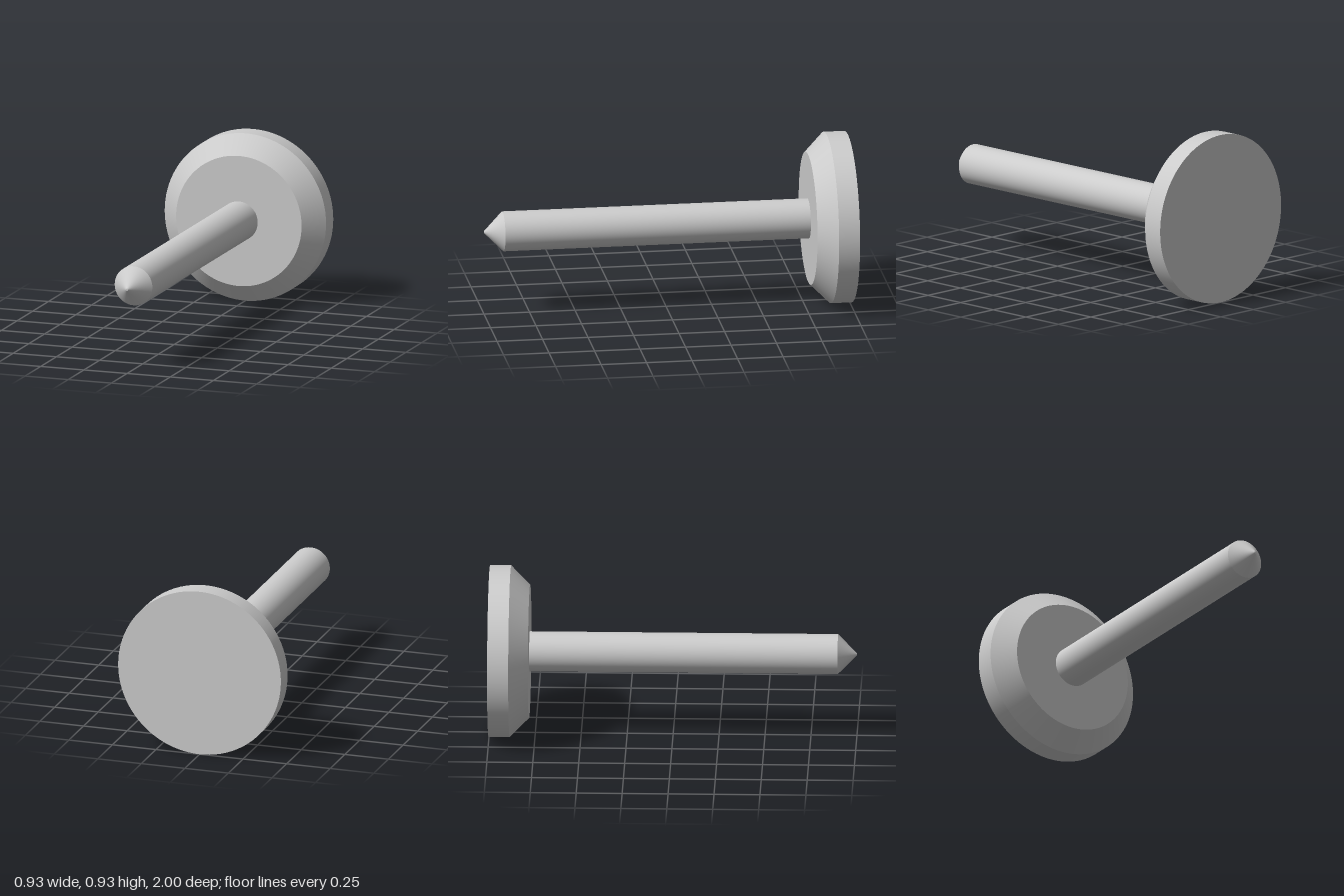
import * as THREE from 'three';
import { mergeGeometries } from 'three/addons/utils/BufferGeometryUtils.js';

const AXIS_Y = 0.467;

// Turned part along +z from [radius, z] pairs; each segment is lathed alone so its edges stay sharp
function turned(name, profile, material) {
  const points = profile.map(([r, z]) => new THREE.Vector2(r, z));
  const bands = points.slice(1).map((p, i) => new THREE.LatheGeometry([points[i], p], 96));
  const geometry = mergeGeometries(bands).rotateX(Math.PI / 2);
  const mesh = new THREE.Mesh(geometry, material);
  mesh.name = name;
  mesh.position.y = AXIS_Y;
  return mesh;
}

export function createModel() {
  const group = new THREE.Group();
  group.name = 'pin';
  const material = new THREE.MeshStandardMaterial({ color: 0xcccccc });

  // Flat round head with a chamfered front rim
  group.add(turned('head', [[0, -1], [0.467, -1], [0.467, -0.885], [0.363, -0.781], [0.109, -0.781]], material));

  // Straight shaft
  group.add(turned('shaft', [[0.109, -0.781], [0.109, 0.897]], material));

  // Conical point with a tiny flat end
  group.add(turned('tip', [[0.109, 0.897], [0.006, 1], [0, 1]], material));

  return group;
}
